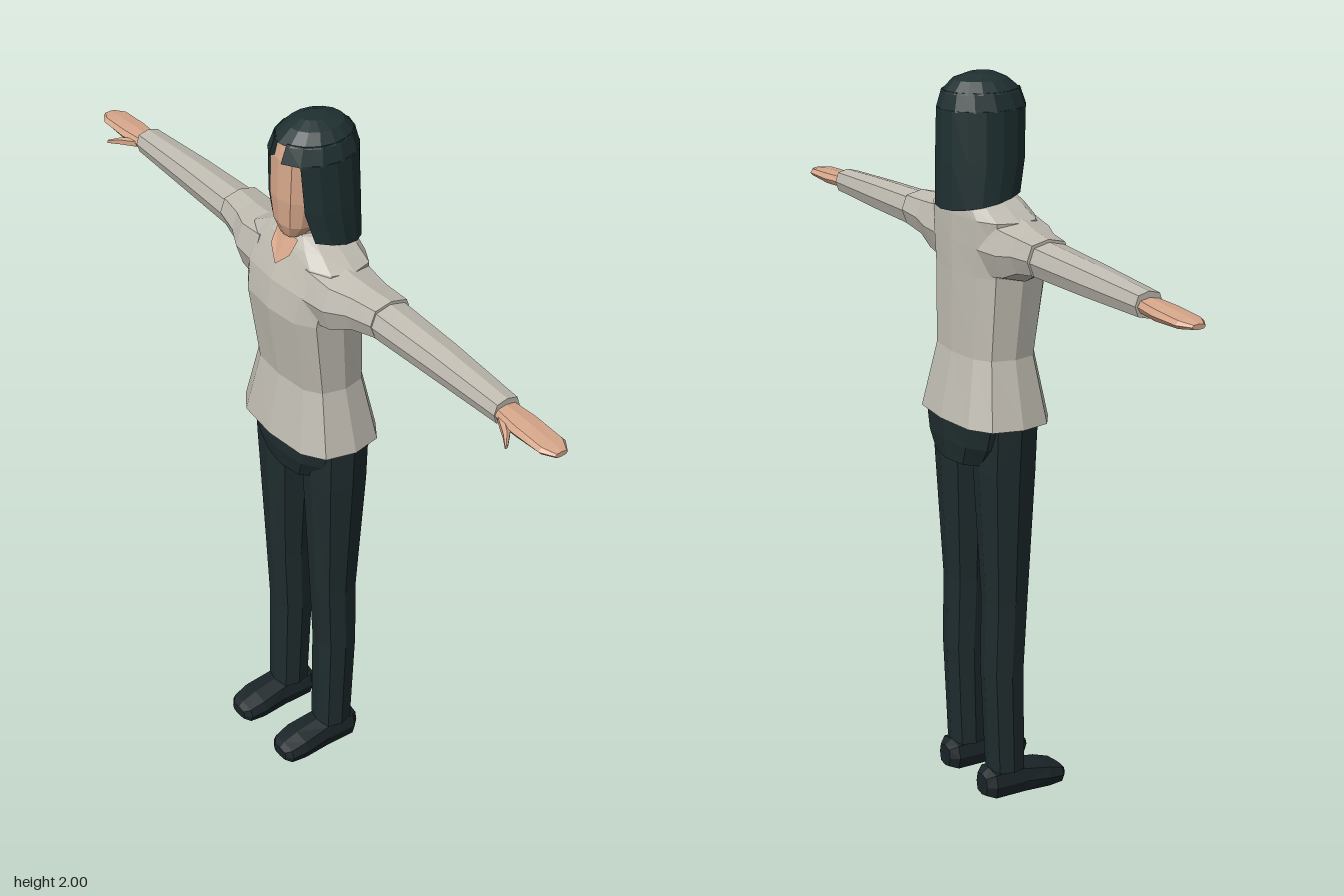
import * as THREE from 'three';

const mat = (name, color) => {
  const m = new THREE.MeshStandardMaterial({ color });
  m.name = name;
  return m;
};

// Point from an axis position t and the two other coordinates
const place = {
  x: (t, u, v) => new THREE.Vector3(t, u, v),
  y: (t, u, v) => new THREE.Vector3(u, t, v),
  z: (t, u, v) => new THREE.Vector3(u, v, t),
};

// Rounded polygon across an axis, between u0..u1 and v0..v1
function ring(axis, [t, u0, u1, v0, v1], n, power = 0.75) {
  const soft = (k) => Math.sign(k) * Math.pow(Math.abs(k), power);
  return Array.from({ length: n }, (_, i) => {
    const a = (i / n) * Math.PI * 2;
    const u = (u0 + u1) / 2 + ((u1 - u0) / 2) * soft(Math.cos(a));
    const v = (v0 + v1) / 2 + ((v1 - v0) / 2) * soft(Math.sin(a));
    return place[axis](t, u, v);
  });
}

// Closed faceted skin over a list of rings
function loft(rings) {
  const tris = [];
  const quad = (a, b, c, d) => tris.push([a, b, c], [a, c, d]);
  const n = rings[0].length;
  for (let i = 0; i < rings.length - 1; i++) {
    for (let j = 0; j < n; j++) {
      const k = (j + 1) % n;
      quad(rings[i][j], rings[i + 1][j], rings[i + 1][k], rings[i][k]);
    }
  }
  const first = rings[0], last = rings[rings.length - 1];
  for (let j = 0; j < n / 2 - 1; j++) {
    const [b, c, d] = [j + 1, n - 2 - j, n - 1 - j];
    quad(first[j], first[b], first[c], first[d]);
    quad(last[j], last[d], last[c], last[b]);
  }
  // Turn the faces outwards
  let volume = 0;
  const cross = new THREE.Vector3();
  for (const [a, b, c] of tris) volume += a.dot(cross.crossVectors(b, c));
  if (volume < 0) tris.forEach((t) => t.reverse());
  const g = new THREE.BufferGeometry().setFromPoints(tris.flat());
  g.computeVertexNormals();
  return g;
}

// Hair cross-section: an arc shell with a gap at the front
function hairArc({ y, rx, front, back, gap, slope = 0 }) {
  const n = 12, outer = [], inner = [];
  const cz = (front + back) / 2, rz = (front - back) / 2;
  for (let i = 0; i <= n; i++) {
    const a = THREE.MathUtils.degToRad(90 + gap + ((360 - 2 * gap) * i) / n);
    const at = (s) => {
      const z = cz + rz * s * Math.sin(a);
      return new THREE.Vector3(rx * s * Math.cos(a), y + slope * z, z);
    };
    outer.push(at(1));
    inner.unshift(at(0.86));
  }
  return [...outer, ...inner];
}

export function createModel() {
  const model = new THREE.Group();
  const sweater = mat('sweater grey', 0xbfbbb1);
  const skin = mat('skin', 0xd6a68a);
  const hair = mat('hair', 0x1f3031);
  const trousers = mat('trousers', 0x1f2c2e);
  const shoe = mat('shoe', 0x1a2427);

  const add = (name, geometry, material) => {
    const mesh = new THREE.Mesh(geometry, material);
    mesh.name = name;
    model.add(mesh);
  };
  const part = (name, axis, rows, material, n = 8, power) =>
    add(name, loft(rows.map((r) => ring(axis, r, n, power))), material);

  // Sweater body, from hem to collar
  part('sweaterBody', 'y', [
    [1.09, -0.205, 0.205, -0.157, 0.113],
    [1.27, -0.158, 0.158, -0.122, 0.082],
    [1.49, -0.168, 0.168, -0.12, 0.115],
    [1.57, -0.18, 0.18, -0.12, 0.102],
    [1.64, -0.185, 0.185, -0.118, 0.072],
    [1.67, -0.125, 0.125, -0.115, 0.06],
    [1.695, -0.07, 0.07, -0.09, 0.04],
  ], sweater, 12, 0.7);

  // Open neckline
  const v = new THREE.BufferGeometry().setFromPoints([
    [-0.045, 1.69, 0.05], [0, 1.612, 0.09], [0, 1.695, 0.052],
    [0, 1.695, 0.052], [0, 1.612, 0.09], [0.045, 1.69, 0.05],
    [-0.045, 1.69, 0.05], [-0.04, 1.65, 0.074], [0, 1.612, 0.09],
    [0.045, 1.69, 0.05], [0, 1.612, 0.09], [0.04, 1.65, 0.074],
  ].map((p) => new THREE.Vector3(...p)));
  v.computeVertexNormals();
  add('neckline', v, skin);

  // Neck and head
  part('neck', 'y', [
    [1.64, -0.05, 0.05, -0.06, 0.045],
    [1.76, -0.043, 0.043, -0.055, 0.03],
  ], skin);
  part('head', 'y', [
    [1.69, -0.032, 0.032, 0.0, 0.062],
    [1.725, -0.06, 0.06, -0.07, 0.076],
    [1.8, -0.074, 0.074, -0.1, 0.082],
    [1.91, -0.076, 0.076, -0.11, 0.078],
    [1.965, -0.055, 0.055, -0.1, 0.064],
  ], skin, 12);

  // Bobbed hair: long curtain, parted fringe and crown
  add('hairCurtain', loft([
    { y: 1.69, rx: 0.118, front: 0.075, back: -0.152, gap: 52, slope: 0.22 },
    { y: 1.78, rx: 0.115, front: 0.085, back: -0.152, gap: 43 },
    { y: 1.915, rx: 0.106, front: 0.09, back: -0.15, gap: 41 },
  ].map(hairArc)), hair);
  add('hairFringe', loft([
    { y: 1.912, rx: 0.106, front: 0.092, back: -0.15, gap: 14 },
    { y: 1.96, rx: 0.09, front: 0.074, back: -0.137, gap: 16 },
  ].map(hairArc)), hair);
  part('hairCrown', 'y', [
    [1.955, -0.092, 0.092, -0.139, 0.076],
    [1.985, -0.064, 0.064, -0.11, 0.04],
    [2.0, -0.03, 0.03, -0.065, 0.005],
  ], hair, 16, 1);

  // Trouser seat
  part('hips', 'y', [
    [0.96, -0.07, 0.07, -0.1, 0.05],
    [0.975, -0.12, 0.12, -0.142, 0.08],
    [1.03, -0.165, 0.165, -0.148, 0.09],
    [1.1, -0.19, 0.19, -0.148, 0.09],
  ], trousers, 12);

  for (const [side, s] of [['left', 1], ['right', -1]]) {
    const limb = (name, axis, rows, material, n, power) =>
      part(side + name, axis, rows.map(([t, a, b, c, d]) =>
        axis === 'x' ? [s * t, a, b, c, d] : [t, s * a, s * b, c, d]), material, n, power);

    // Shoulder and sleeve
    limb('Shoulder', 'x', [
      [0.1, 1.47, 1.66, -0.11, 0.09],
      [0.19, 1.487, 1.643, -0.1, 0.08],
      [0.25, 1.515, 1.634, -0.09, 0.052],
      [0.33, 1.53, 1.63, -0.09, 0.035],
    ], sweater);
    limb('Sleeve', 'x', [
      [0.25, 1.527, 1.625, -0.085, 0.036],
      [0.54, 1.53, 1.615, -0.077, 0.022],
      [0.78, 1.535, 1.602, -0.066, 0.012],
    ], sweater);

    // Hand and thumb
    limb('Hand', 'x', [
      [0.77, 1.548, 1.586, -0.058, 0.008],
      [0.85, 1.546, 1.583, -0.067, 0.016],
      [0.945, 1.552, 1.577, -0.066, 0.015],
      [0.98, 1.557, 1.571, -0.043, -0.006],
    ], skin);
    limb('Thumb', 'x', [
      [0.79, 1.55, 1.575, -0.02, 0.01],
      [0.84, 1.543, 1.566, 0.01, 0.034],
      [0.87, 1.542, 1.553, 0.042, 0.052],
    ], skin, 6);

    // Trouser leg
    limb('Leg', 'y', [
      [0.08, 0.052, 0.16, -0.07, 0.03],
      [0.38, 0.047, 0.163, -0.084, 0.026],
      [0.58, 0.044, 0.167, -0.08, 0.036],
      [0.96, 0.022, 0.19, -0.1, 0.052],
      [1.1, 0.015, 0.198, -0.1, 0.055],
    ], trousers);

    // Shoe
    limb('Shoe', 'z', [
      [-0.092, 0.075, 0.135, 0.008, 0.07],
      [-0.07, 0.055, 0.157, 0.0, 0.085],
      [0.02, 0.055, 0.157, 0.0, 0.085],
      [0.1, 0.048, 0.162, 0.0, 0.07],
      [0.145, 0.055, 0.155, 0.002, 0.055],
      [0.16, 0.075, 0.135, 0.01, 0.042],
    ], shoe, 8, 0.6);
  }
  return model;
}
